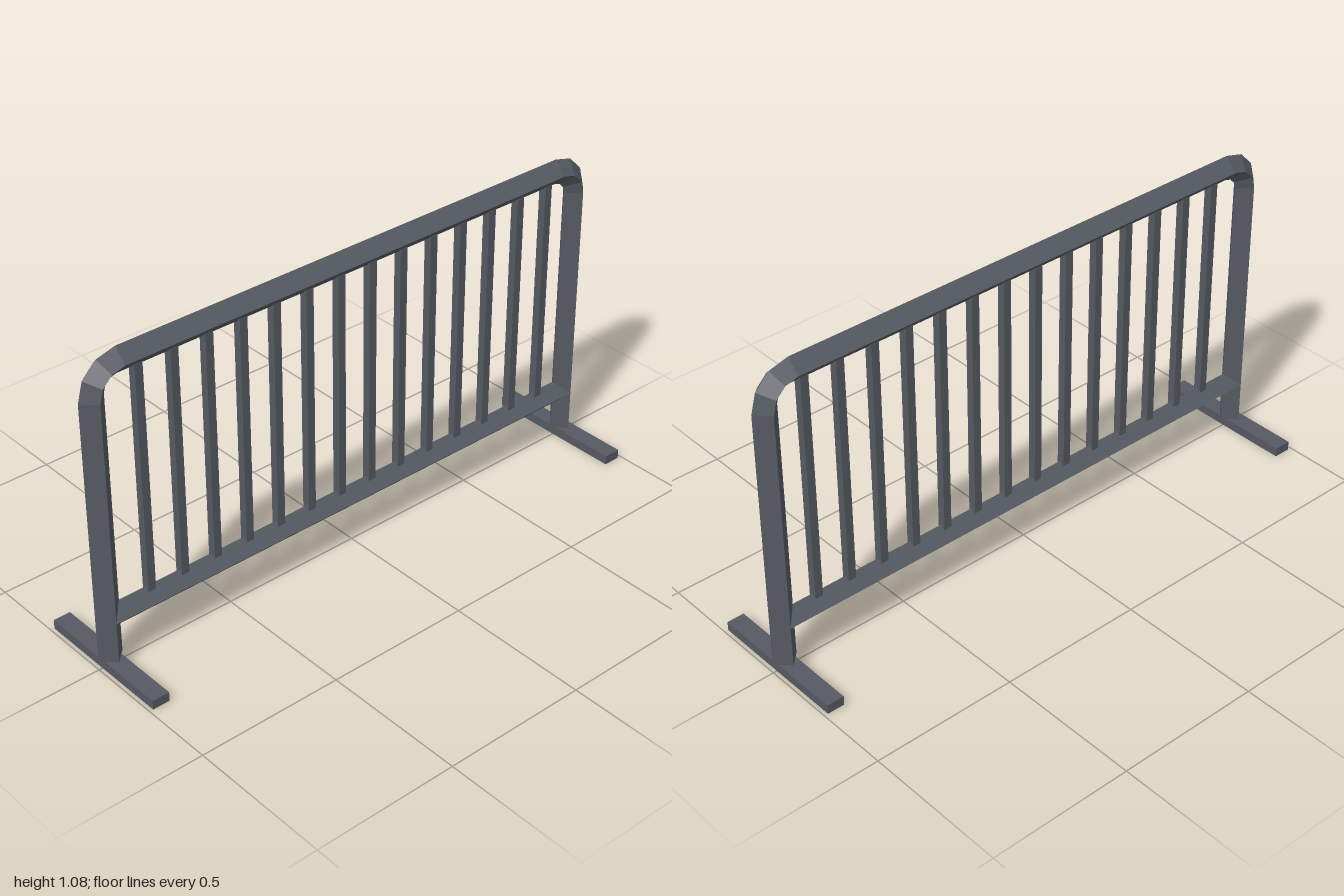
import * as THREE from 'three';

const R = 0.044; // half diagonal of the diamond-section rails

// Sweep a diamond section along stations [x, y, outwardX, outwardY] in the xy plane
function diamondSweep(stations) {
  const pos = [], idx = [];
  const rings = stations.map(([x, y, ox, oy]) => [
    [x + ox * R, y + oy * R, 0], [x, y, R], [x - ox * R, y - oy * R, 0], [x, y, -R],
  ]);
  const quad = (a, b, c, d) => {
    const n = pos.length / 3;
    pos.push(...a, ...b, ...c, ...d);
    idx.push(n, n + 1, n + 2, n, n + 2, n + 3);
  };
  for (let i = 0; i < rings.length - 1; i++) {
    for (let k = 0; k < 4; k++) {
      const j = (k + 1) % 4;
      quad(rings[i][k], rings[i][j], rings[i + 1][j], rings[i + 1][k]);
    }
  }
  const [a, b, c, d] = rings[0];
  quad(d, c, b, a);
  quad(...rings[rings.length - 1]);
  const g = new THREE.BufferGeometry();
  g.setAttribute('position', new THREE.Float32BufferAttribute(pos, 3));
  g.setIndex(idx);
  const flat = g.toNonIndexed();
  flat.computeVertexNormals();
  return flat;
}

export function createModel() {
  const group = new THREE.Group();
  const steel = new THREE.MeshStandardMaterial({ color: 0x565a62 });
  steel.name = 'darkGreySteel';
  const add = (name, geometry, x = 0, y = 0, z = 0) => {
    const mesh = new THREE.Mesh(geometry, steel);
    mesh.name = name;
    mesh.position.set(x, y, z);
    group.add(mesh);
  };

  // Arched outer frame: left post, bend, top rail, bend, right post
  const postX = 0.956, bend = 0.091, bendX = postX - bend, bendY = 0.94;
  const stations = [[-postX, 0.03, -1, 0]];
  for (const side of [-1, 1]) {
    for (let i = 0; i <= 3; i++) {
      const t = (side < 0 ? i : 3 - i) * Math.PI / 6;
      const ox = side * Math.cos(t), oy = Math.sin(t);
      stations.push([side * bendX + ox * bend, bendY + oy * bend, ox, oy]);
    }
  }
  stations.push([postX, 0.03, 1, 0]);
  add('outerFrame', diamondSweep(stations));

  // Bottom rail between the posts
  add('bottomRail', diamondSweep([[-postX, 0.175, 0, 1], [postX, 0.175, 0, 1]]));

  // Upright bars
  const barGeometry = new THREE.BoxGeometry(0.028, 0.84, 0.028);
  for (let i = 0; i < 14; i++) add('bar' + (i + 1), barGeometry, -0.8 + i * 0.125, 0.6, 0);

  // Feet
  const footGeometry = new THREE.BoxGeometry(0.06, 0.032, 0.5);
  add('leftFoot', footGeometry, 0.957, 0.016, 0);
  add('rightFoot', footGeometry, -0.957, 0.016, 0);
  return group;
}
